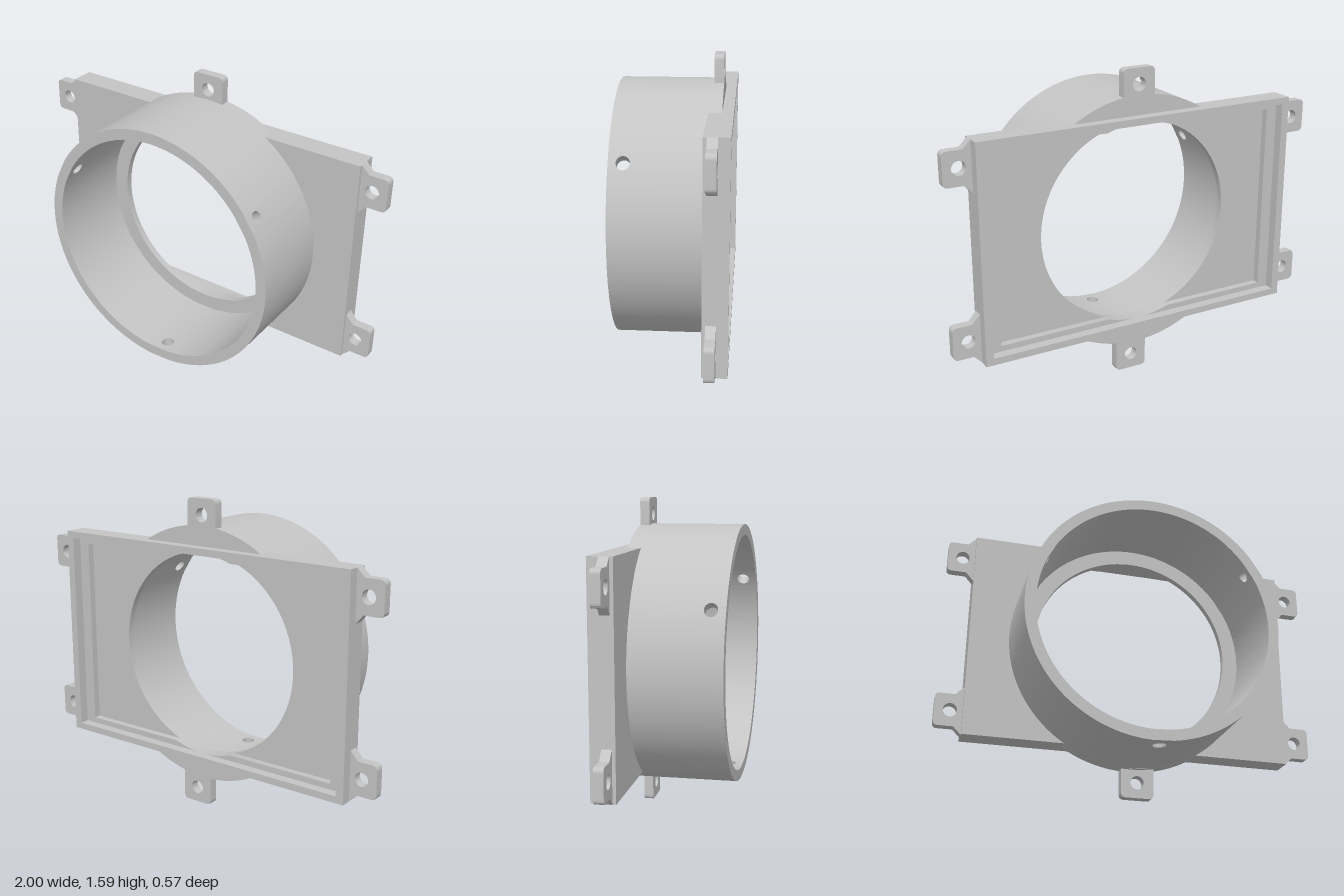
import * as THREE from 'three';
import { toCreasedNormals } from 'three/addons/utils/BufferGeometryUtils.js';

const gray = new THREE.MeshStandardMaterial({ color: 0xc4c4c4 });
gray.name = 'plain gray';

const R = 0.655, BORE = 0.6, HOLE = 0.52; // collar outside, collar inside, plate opening
const W = 0.86, H = 0.555;                // half size of the plate
const FRONT = 0.285, PLATE = -0.165;      // z of collar front and plate front

function rect(w, h, C = THREE.Shape) {
  const s = new C();
  s.moveTo(-w, -h);
  s.lineTo(w, -h);
  s.lineTo(w, h);
  s.lineTo(-w, h);
  s.closePath();
  return s;
}

function circle(x, y, r) {
  const p = new THREE.Path();
  p.absarc(x, y, r, 0, Math.PI * 2, false);
  return p;
}

// Extrude an xy outline between two z values
function slab(shape, z0, z1, curveSegments = 16) {
  const g = new THREE.ExtrudeGeometry(shape, { depth: z1 - z0, bevelEnabled: false, curveSegments });
  g.translate(0, 0, z0);
  return toCreasedNormals(g, 0.5);
}

export function createModel() {
  const model = new THREE.Group();
  model.name = 'ductFlange';
  const body = new THREE.Group();
  body.name = 'body';
  body.position.y = 0.802;
  model.add(body);
  const add = (name, geometry) => {
    const m = new THREE.Mesh(geometry, gray);
    m.name = name;
    body.add(m);
  };

  // Plate floor with the round opening
  const floor = rect(W, H);
  floor.holes.push(circle(0, 0, HOLE));
  add('plateFloor', slab(floor, -0.2, PLATE, 96));

  // Inner ledge, notched where the round opening crosses it
  const ledge = rect(W, H);
  const lx = 0.76, ly = 0.49, a = Math.acos(ly / HOLE), q = Math.PI / 2;
  const notch = new THREE.Path();
  notch.moveTo(-lx, ly);
  notch.lineTo(-lx, -ly);
  notch.absarc(0, 0, HOLE, -q - a, -q + a, false);
  notch.lineTo(lx, -ly);
  notch.lineTo(lx, ly);
  notch.absarc(0, 0, HOLE, q - a, q + a, false);
  notch.closePath();
  ledge.holes.push(notch);
  add('plateLedge', slab(ledge, -0.235, -0.2));

  // Outer rim around the back
  const rim = rect(W, H);
  rim.holes.push(rect(0.82, 0.52, THREE.Path));
  add('plateRim', slab(rim, -0.285, -0.235));

  // Collar wall: three arcs joined by small panels with a screw hole each
  const half = 0.08, third = Math.PI * 2 / 3;
  const profile = [[R, PLATE], [R, FRONT], [BORE, FRONT], [BORE, PLATE]]
    .map(([x, y]) => new THREE.Vector2(x, y));
  for (let i = 0; i < 3; i++) {
    const angle = THREE.MathUtils.degToRad(33) + i * third;
    const arc = new THREE.LatheGeometry(profile, 40, angle + half + q, third - 2 * half);
    arc.rotateX(q);
    add('collarArc', toCreasedNormals(arc, 0.5));

    // Flat panel (x along the arc, y along the axis), bent round the collar
    const panel = new THREE.Shape();
    const mid = (R + BORE) / 2, w = half * mid;
    panel.moveTo(-w, PLATE);
    panel.lineTo(w, PLATE);
    panel.lineTo(w, FRONT);
    panel.lineTo(-w, FRONT);
    panel.closePath();
    panel.holes.push(circle(0, 0.215, 0.033));
    const g = new THREE.ExtrudeGeometry(panel, { depth: R - BORE, bevelEnabled: false, curveSegments: 12 });
    const p = g.attributes.position, n = g.attributes.normal;
    for (let k = 0; k < p.count; k++) {
      const t = angle + p.getX(k) / mid, r = BORE + p.getZ(k);
      const c = Math.cos(t), s = Math.sin(t);
      const nx = n.getX(k), ny = n.getY(k), nz = n.getZ(k);
      p.setXYZ(k, r * c, r * s, p.getY(k));
      n.setXYZ(k, nz * c - nx * s, nz * s + nx * c, ny);
    }
    add('collarHolePanel', g);
  }

  // Collar segments standing out above and below the plate
  const b = Math.acos(H / R);
  for (const s of [1, -1]) {
    const seg = new THREE.Shape();
    seg.absarc(0, 0, R, s * q - b, s * q + b, false);
    seg.closePath();
    add(s > 0 ? 'upperCollarSegment' : 'lowerCollarSegment', slab(seg, -0.23, PLATE, 32));
  }

  // Mounting ears above and below the collar
  const c = 0.025;
  for (const [name, x, s, end, hole] of [
    ['topEar', 0, 1, 0.787, 0.707], ['bottomEar', 0.04, -1, 0.802, 0.722]]) {
    const e = 0.085, ear = new THREE.Shape();
    ear.moveTo(x - e, s * 0.63);
    ear.lineTo(x + e, s * 0.63);
    ear.lineTo(x + e, s * (end - c));
    ear.quadraticCurveTo(x + e, s * end, x + e - c, s * end);
    ear.lineTo(x - e + c, s * end);
    ear.quadraticCurveTo(x - e, s * end, x - e, s * (end - c));
    ear.closePath();
    ear.holes.push(circle(x, s * hole, 0.035));
    add(name, slab(ear, -0.23, -0.182));
  }

  // Four flared corner ears
  for (const sx of [1, -1]) for (const sy of [1, -1]) {
    const ear = new THREE.Shape();
    const to = (x, y) => ear.lineTo(sx * x, sy * y);
    const round = (x, y, x2, y2) => ear.quadraticCurveTo(sx * x, sy * y, sx * x2, sy * y2);
    ear.moveTo(sx * 0.85, sy * 0.3);
    to(W, 0.3);
    to(0.9, 0.345);
    to(1 - c, 0.345);
    round(1, 0.345, 1, 0.345 + c);
    to(1, 0.515 - c);
    round(1, 0.515, 1 - c, 0.515);
    to(0.9, 0.515);
    to(W, H);
    to(0.85, H);
    ear.closePath();
    ear.holes.push(circle(sx * 0.922, sy * 0.43, 0.035));
    add('cornerEar', slab(ear, -0.23, -0.182));
  }
  return model;
}
